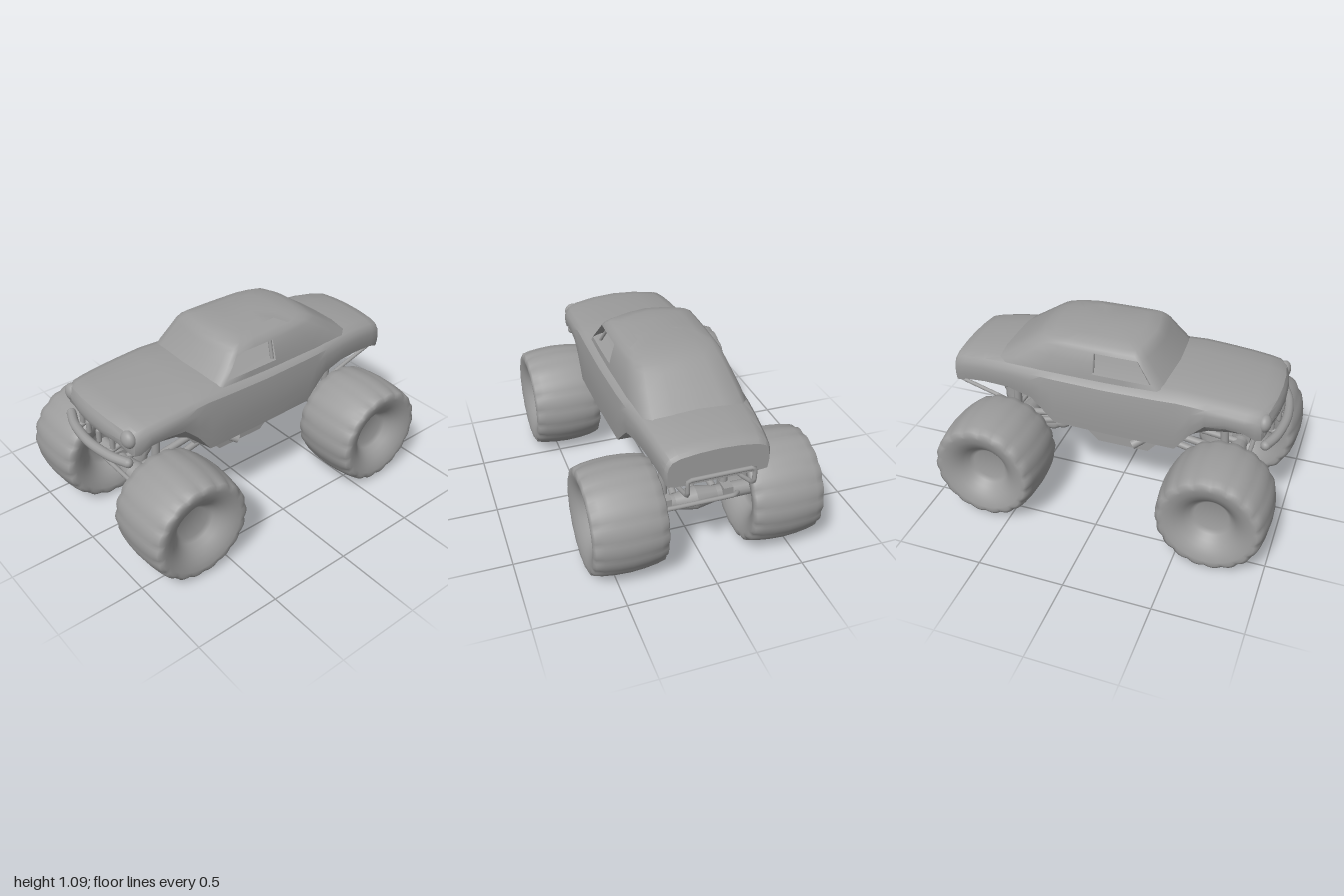
import * as THREE from 'three';
import { mergeVertices, toCreasedNormals } from 'three/addons/utils/BufferGeometryUtils.js';

const mat = new THREE.MeshStandardMaterial({ color: 0x9c9c9c });
const shellMat = new THREE.MeshStandardMaterial({ color: 0x9c9c9c, side: THREE.DoubleSide });
const V = (p) => new THREE.Vector3(...p);

function add(parent, name, geo, pos = [0, 0, 0], m = mat) {
  const mesh = new THREE.Mesh(geo, m);
  mesh.name = name;
  mesh.position.set(...pos);
  parent.add(mesh);
  return mesh;
}

// Straight round bar between two points
function bar(parent, name, a, b, r, r2 = r) {
  const d = V(b).sub(V(a));
  const mesh = add(parent, name, new THREE.CylinderGeometry(r2, r, d.length(), 14));
  mesh.position.copy(V(a)).addScaledVector(d, 0.5);
  mesh.quaternion.setFromUnitVectors(new THREE.Vector3(0, 1, 0), d.normalize());
}

// Bent pipe through points
function pipe(parent, name, pts, r, tension = 0.5) {
  const curve = new THREE.CatmullRomCurve3(pts.map(V), false, 'catmullrom', tension);
  add(parent, name, new THREE.TubeGeometry(curve, 64, r, 12), [0, 0, 0], shellMat);
}

// Skin over closed rows of points, last row capped, with optional holes
function skin(rows, crease, hole = () => false) {
  const n = rows[0].length, index = [], pos = rows.flat(2);
  for (let i = 0; i < rows.length - 1; i++)
    for (let j = 0; j < n; j++) {
      if (hole(i, j)) continue;
      const k = (j + 1) % n, a = i * n + j, b = i * n + k, c = a + n, d = b + n;
      index.push(a, b, d, a, d, c);
    }
  const last = rows.length - 1;
  pos.push(...[0, 1, 2].map((q) => rows[last].reduce((s, p) => s + p[q], 0) / n));
  for (let j = 0; j < n; j++) index.push(rows.length * n, last * n + j, last * n + (j + 1) % n);
  const g = new THREE.BufferGeometry();
  g.setAttribute('position', new THREE.Float32BufferAttribute(pos, 3));
  g.setIndex(index);
  return toCreasedNormals(g, crease);
}

// Half outline (x >= 0) completed by its mirror image
const mirrored = (half) => [...half, ...half.slice(1, -1).reverse().map(([x, y, z]) => [-x, y, z])];

// Lower body: z, half width, top, arch edge, underside
function bodyGeometry() {
  const stations = [
    [0.885, 0.305, 0.84, 0.722, 0.752], [0.872, 0.325, 0.863, 0.708, 0.75], [0.84, 0.338, 0.88, 0.71, 0.735],
    [0.78, 0.344, 0.889, 0.742, 0.69], [0.68, 0.348, 0.9, 0.752, 0.668], [0.57, 0.351, 0.908, 0.742, 0.65],
    [0.49, 0.352, 0.913, 0.665, 0.61], [0.41, 0.353, 0.917, 0.556, 0.555], [0.3, 0.353, 0.912, 0.556, 0.555],
    [0, 0.351, 0.905, 0.556, 0.555], [-0.31, 0.342, 0.905, 0.556, 0.555], [-0.38, 0.337, 0.905, 0.625, 0.585],
    [-0.45, 0.332, 0.905, 0.69, 0.615], [-0.6, 0.318, 0.903, 0.718, 0.645], [-0.75, 0.302, 0.892, 0.712, 0.65],
    [-0.88, 0.287, 0.872, 0.693, 0.655], [-0.935, 0.28, 0.858, 0.672, 0.655], [-0.952, 0.27, 0.842, 0.668, 0.66],
  ];
  const rows = stations.map(([z, w, t, arch, pan]) => {
    const h = t - 0.06 - arch;
    const half = [[0, pan], [0.4, pan], [0.7, pan], [0.975, arch], [1, arch + 0.35 * h], [1, arch + 0.75 * h],
      [0.975, t - 0.06], [0.91, t - 0.035], [0.76, t - 0.018], [0.4, t - 0.005], [0, t]];
    // The nose comes to a soft point in the middle
    const nose = 0.045 * THREE.MathUtils.smoothstep(z, 0.5, 0.87);
    return mirrored(half.map(([f, y]) => [f * w, y, z + nose * (1 - f * f)]));
  });
  // Slightly bulged nose closing to a horizontal line
  const rim = rows[0];
  for (const [k, dz] of [[0.6, 0.006], [0, 0.009]])
    rows.unshift(rim.map(([x, y, z]) => [x * (0.98 + 0.02 * k), 0.79 + (y - 0.79) * k, z + dz]));
  return skin(rows, 0.55);
}

// Cabin: stacked outlines, each y at the edge, half width, front z, rear z, crown
function cabinGeometry() {
  const levels = [
    [0.85, 0.31, 0.39, -0.74, 0], [0.91, 0.303, 0.338, -0.645, 0], [0.968, 0.288, 0.288, -0.56, 0],
    [1.025, 0.271, 0.243, -0.475, 0.004], [1.044, 0.259, 0.222, -0.43, 0.014], [1.06, 0.235, 0.195, -0.37, 0.019],
    [1.069, 0.17, 0.13, -0.27, 0.023], [1.07, 0.05, 0.04, -0.15, 0.024],
  ];
  const rows = levels.map(([y, w, f, r, crown]) => mirrored([
    [0, f], [0.45, f - 0.014], [0.8, f - 0.034], [0.95, f - 0.05], [1, f - 0.072], [1.005, (f - 0.15) / 2],
    [1, -0.08], [0.98, (r - 0.08) / 2], [0.93, r + 0.1], [0.8, r + 0.035], [0.45, r + 0.006], [0, r],
  ].map(([k, z]) => [k * w, y + crown * (1 - (k * w / 0.27) ** 2), z])));
  const n = rows[0].length;
  const isWindow = (j) => j === 4 || j === 5 || j === n - 5 || j === n - 6;
  return skin(rows, 0.9, (i, j) => (i === 1 || i === 2) && isWindow(j));
}

// Fat tyre with dished sides and notched tread shoulders
function tyreGeometry() {
  const half = [[0, 0.1], [0.095, 0.1], [0.118, 0.118], [0.145, 0.148], [0.175, 0.174], [0.21, 0.193],
    [0.245, 0.203], [0.272, 0.204], [0.291, 0.194], [0.302, 0.15], [0.311, 0.08]];
  const pts = [...half.map(([r, a]) => [r, -a]), [0.315, 0], ...half.slice().reverse()];
  let g = new THREE.LatheGeometry(pts.map(([r, a]) => new THREE.Vector2(r, a)), 108);
  const p = g.attributes.position;
  for (let i = 0; i < p.count; i++) {
    const x = p.getX(i), z = p.getZ(i), a = Math.abs(p.getY(i)), r = Math.hypot(x, z);
    if (r < 0.26) continue;
    const lug = Math.abs(Math.sin(Math.atan2(z, x) * 9));
    const k = 1 - (a > 0.17 ? 0.04 : 0.01) * (1 - lug);
    p.setXYZ(i, x * k, p.getY(i), z * k);
  }
  g.deleteAttribute('normal');
  g.deleteAttribute('uv');
  g = mergeVertices(g, 1e-5);
  g.computeVertexNormals();
  return g.rotateZ(-Math.PI / 2);
}

// Axle with differential, steering rod, struts and links; dir points away from the middle
function buildAxle(z, dir) {
  const axle = new THREE.Group();
  axle.name = dir > 0 ? 'frontAxle' : 'rearAxle';
  bar(axle, 'axleTube', [-0.36, 0.315, z], [0.36, 0.315, z], 0.045);
  pipe(axle, 'steeringRod', [[-0.24, 0.325, z + dir * 0.04], [-0.19, 0.335, z + dir * 0.075],
    [0.19, 0.335, z + dir * 0.075], [0.24, 0.325, z + dir * 0.04]], 0.013, 0.2);
  bar(axle, 'driveShaft', [0, 0.33, z], [0, 0.41, dir * 0.18], 0.022);
  for (const s of [1, -1]) {
    bar(axle, 'differential', [s * 0.12, 0.315, z], [0, 0.315, z], 0.045, 0.066);
    add(axle, 'strutMount', new THREE.BoxGeometry(0.055, 0.06, 0.11), [s * 0.178, 0.345, z]);
    bar(axle, 'strut', [s * 0.176, 0.32, z - dir * 0.02], [s * 0.176, 0.7, z - dir * 0.04], 0.024);
    bar(axle, 'link', [s * 0.115, 0.345, z - dir * 0.02], [s * 0.085, 0.425, dir * 0.22], 0.02);
  }
  return axle;
}

export function createModel() {
  const truck = new THREE.Group();
  truck.name = 'monsterTruck';
  add(truck, 'body', bodyGeometry(), [0, 0, 0], shellMat);
  add(truck, 'cabin', cabinGeometry(), [0, 0, 0], shellMat);

  // Wheels and axles
  const tyre = tyreGeometry();
  for (const [z, dir] of [[0.6875, 1], [-0.64, -1]]) {
    truck.add(buildAxle(z, dir));
    for (const s of [1, -1]) add(truck, 'wheel', tyre, [s * 0.44, 0.315, z]);
  }

  // Chassis tub below the body
  const tub = new THREE.Shape([[0.41, 0.57], [0.38, 0.46], [0.28, 0.435], [0.2, 0.34], [-0.11, 0.34],
    [-0.22, 0.445], [-0.33, 0.465], [-0.31, 0.57]].map(([x, y]) => new THREE.Vector2(x, y)));
  add(truck, 'chassisTub', new THREE.ExtrudeGeometry(tub, { depth: 0.3, bevelEnabled: false })
    .rotateY(-Math.PI / 2).translate(0.15, 0, 0));

  // Front bumper and grille teeth
  const bumperEnd = [0.285, 0.66, 0.895];
  pipe(truck, 'frontBumper', [[-0.285, 0.66, 0.895], [-0.17, 0.66, 0.937], [0, 0.66, 0.957],
    [0.17, 0.66, 0.937], bumperEnd], 0.027);
  for (const x of [-0.15, -0.05, 0.05, 0.15])
    add(truck, 'grilleTooth', new THREE.CapsuleGeometry(0.015, 0.06, 4, 10), [x, 0.71, 0.922 - x * x]);

  for (const s of [1, -1]) {
    add(truck, 'bumperEnd', new THREE.SphereGeometry(0.027, 12, 8), [s * bumperEnd[0], bumperEnd[1], bumperEnd[2]]);
    bar(truck, 'bumperBracket', [s * 0.15, 0.66, 0.93], [s * 0.15, 0.7, 0.78], 0.016);
    // Headlights
    add(truck, 'headlight', new THREE.SphereGeometry(0.05, 24, 16), [s * 0.277, 0.798, 0.877]).scale.z = 0.75;
    // Side exhausts
    bar(truck, 'exhaust', [s * 0.14, 0.5, 0.26], [s * 0.235, 0.43, 0.13], 0.027);
    // Cage inside the cabin
    bar(truck, 'cageFrontBar', [s * 0.265, 0.88, 0.255], [s * 0.225, 1.04, 0.14], 0.009);
    bar(truck, 'cageRearBar', [s * 0.25, 0.88, -0.1], [s * 0.21, 1.06, -0.1], 0.011);
  }
  bar(truck, 'cageCrossBar', [-0.21, 1.06, -0.1], [0.21, 1.06, -0.1], 0.011);

  // Driver seat and helmet
  add(truck, 'seatBack', new THREE.BoxGeometry(0.16, 0.14, 0.04), [0, 0.945, -0.07]);
  add(truck, 'helmet', new THREE.SphereGeometry(0.05, 20, 14), [0, 0.975, -0.045]);

  // Rear push bar
  const rearHalf = [[0.176, 0.51, -0.63], [0.17, 0.57, -0.85], [0.175, 0.61, -0.965], [0.178, 0.635, -0.987],
    [0.178, 0.7, -0.987], [0.162, 0.713, -0.987]];
  pipe(truck, 'rearBar', [...rearHalf, ...rearHalf.slice().reverse().map(([x, y, z]) => [-x, y, z])], 0.012, 0.15);
  return truck;
}
